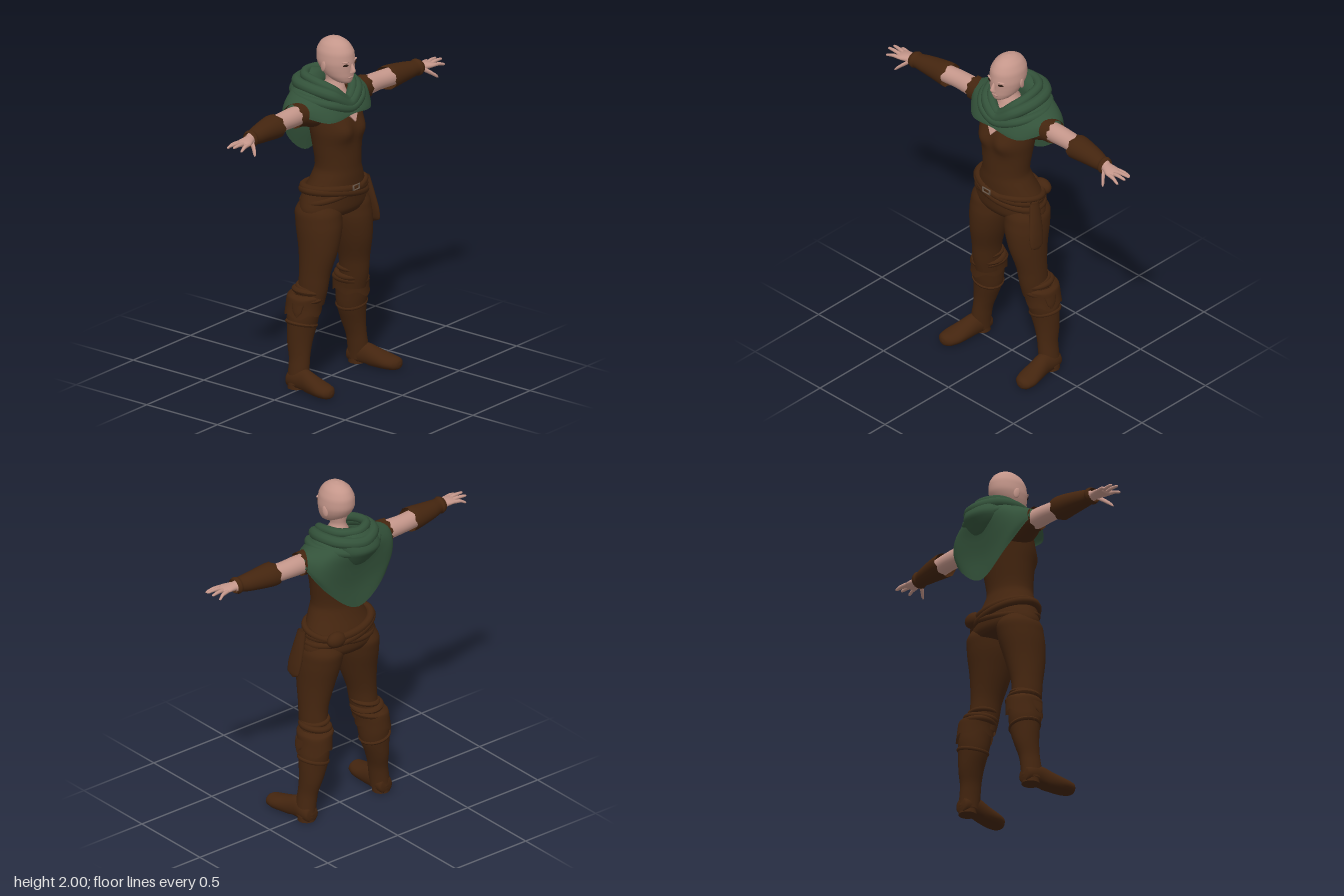
import * as THREE from 'three';

const mat = (name, color, side = THREE.FrontSide) => {
  const m = new THREE.MeshStandardMaterial({ color, side });
  m.name = name;
  return m;
};
const V = (x, y, z) => new THREE.Vector3(x, y, z);

// Surface through rows of closed loops of points; faces point outwards
function skinRows(rows) {
  const n = rows[0].length, pos = [], idx = [];
  rows.forEach(r => r.forEach(p => pos.push(p.x, p.y, p.z)));
  for (let i = 0; i < rows.length - 1; i++) for (let j = 0; j < n; j++) {
    const a = i * n + j, b = i * n + (j + 1) % n;
    idx.push(a, b, a + n, b, b + n, a + n);
  }
  let vol = 0;
  const p = k => V(pos[k * 3], pos[k * 3 + 1], pos[k * 3 + 2]);
  for (let k = 0; k < idx.length; k += 3) vol += p(idx[k]).dot(p(idx[k + 1]).cross(p(idx[k + 2])));
  if (vol < 0) idx.reverse();
  const g = new THREE.BufferGeometry();
  g.setAttribute('position', new THREE.Float32BufferAttribute(pos, 3));
  g.setIndex(idx);
  g.computeVertexNormals();
  return g;
}

// Smooth loft through elliptical sections [x, y, z, a, b] standing across an axis
function loft(axis, rings, { deform, sides = 28, sub = 4 } = {}) {
  const c = new THREE.CatmullRomCurve3(rings.map(r => V(r[0], r[1], r[2])));
  const s = new THREE.CatmullRomCurve3(rings.map(r => V(r[3], r[4], 0)));
  const steps = (rings.length - 1) * sub, rows = [];
  for (let i = 0; i <= steps; i++) {
    const o = c.getPoint(i / steps), r = s.getPoint(i / steps), row = [];
    for (let j = 0; j < sides; j++) {
      const t = j / sides * Math.PI * 2, u = Math.max(r.x, 0) * Math.cos(t), w = Math.max(r.y, 0) * Math.sin(t);
      const q = axis === 'y' ? V(o.x + u, o.y, o.z + w) : axis === 'x' ? V(o.x, o.y + u, o.z + w) : V(o.x + u, o.y + w, o.z);
      if (deform) deform(q, t, i / steps);
      row.push(q);
    }
    rows.push(row);
  }
  return skinRows(rows);
}

// Closed curve from five points running front to back on the left, mirrored to the right
const ringCurve = pts => new THREE.CatmullRomCurve3(
  [...pts, ...pts.slice(1, -1).reverse().map(([x, y, z]) => [-x, y, z])].map(q => V(...q)), true);
const roll = (pts, r) => new THREE.TubeGeometry(ringCurve(pts), 64, r, 10, true);

function ball(x, y, z, a, b, c, rx = 0, ry = 0) {
  return new THREE.SphereGeometry(1, 20, 14).scale(a, b, c).rotateX(rx).rotateY(ry).translate(x, y, z);
}

function mirrored(g) {
  const m = g.clone().scale(-1, 1, 1);
  m.setIndex(Array.from(g.index.array).reverse());
  m.computeVertexNormals();
  return m;
}

export function createModel() {
  const model = new THREE.Group();
  const skin = mat('skin', 0xc4968a), leather = mat('brown leather', 0x44250f, THREE.DoubleSide);
  const green = mat('green cloth', 0x33523a, THREE.DoubleSide), dark = mat('dark eye', 0x2a1a12);
  const metal = mat('buckle metal', 0x6b5a4c);
  const add = (name, g, m) => {
    const mesh = new THREE.Mesh(g, m);
    mesh.name = name;
    model.add(mesh);
  };
  const pair = (name, g, m) => { add(name + 'Left', g, m); add(name + 'Right', mirrored(g), m); };

  // Head and neck
  add('head', loft('y', [
    [0, 2, .025, 0, 0], [0, 1.992, .025, .035, .045], [0, 1.965, .025, .068, .087], [0, 1.92, .027, .09, .112],
    [0, 1.87, .03, .095, .115], [0, 1.83, .038, .089, .105], [0, 1.79, .055, .074, .086],
    [0, 1.762, .075, .052, .06], [0, 1.748, .085, .03, .04], [0, 1.745, .085, 0, 0]]), skin);
  add('neck', loft('y', [[0, 1.82, .015, .055, .06], [0, 1.72, .015, .055, .06], [0, 1.66, .02, .075, .078], [0, 1.61, .02, .09, .085]]), skin);
  add('nose', loft('y', [[0, 1.872, .142, 0, 0], [0, 1.85, .146, .009, .01], [0, 1.825, .149, .014, .019],
    [0, 1.813, .145, .017, .017], [0, 1.806, .14, 0, 0]], { sides: 14 }), skin);
  add('lips', ball(0, 1.785, .133, .024, .008, .01), skin);
  pair('ear', ball(.092, 1.845, .015, .008, .032, .019, .2, .25), skin);
  pair('eye', ball(.042, 1.861, .133, .017, .007, .005, 0, .35), dark);
  pair('brow', ball(.043, 1.879, .131, .022, .005, .008, 0, .35), skin);

  // Torso with a shaped bust
  add('tunic', loft('y', [
    [0, 1.68, 0, .07, .06], [0, 1.655, 0, .15, .085], [0, 1.62, .01, .19, .1], [0, 1.55, .022, .182, .125],
    [0, 1.48, .033, .175, .128], [0, 1.4, .037, .16, .123], [0, 1.27, .045, .143, .117], [0, 1.2, .037, .167, .128],
    [0, 1.1, .015, .215, .146], [0, 1.03, .01, .237, .146], [0, .99, .01, .21, .125], [0, .97, .01, 0, 0]], {
    sides: 48,
    deform: q => {
      if (q.z > .03) q.z += .027 * Math.exp(-(((Math.abs(q.x) - .075) / .055) ** 2) - ((q.y - 1.48) / .06) ** 2);
    } }), leather);
  const chest = new THREE.Shape([[0, -.04], [.04, .012], [.025, .035], [-.025, .035], [-.04, .012]].map(q => new THREE.Vector2(...q)));
  add('chestOpening', new THREE.ExtrudeGeometry(chest, { depth: .008, bevelEnabled: false }).rotateX(-.4).translate(0, 1.565, .15), skin);

  // Sleeves with ragged hems, arms and bracers
  pair('sleeve', loft('x', [[.13, 1.585, -.005, .085, .09], [.2, 1.595, -.01, .078, .085], [.26, 1.603, -.018, .068, .07],
    [.31, 1.605, -.02, .068, .066]], {
    deform: (q, t, k) => { if (k > .95) q.x += .008 * Math.sin(t * 9); } }), leather);
  pair('arm', loft('x', [[.2, 1.6, -.02, .05, .05], [.32, 1.603, -.02, .056, .054], [.42, 1.603, -.02, .052, .052],
    [.52, 1.602, -.01, .052, .05], [.64, 1.6, 0, .043, .043], [.75, 1.602, .014, .026, .032]]), skin);
  pair('bracer', loft('x', [[.485, 1.603, -.008, .066, .075], [.51, 1.604, -.008, .067, .073], [.58, 1.604, -.004, .06, .064],
    [.66, 1.603, .004, .05, .053], [.71, 1.603, .012, .043, .044], [.725, 1.603, .014, .049, .049], [.745, 1.603, .016, .04, .043]], {
    deform: (q, t, k) => { if (k < .04) q.x += .008 * Math.sin(t * 7); } }), leather);

  // Hands
  pair('palm', loft('x', [[.73, 1.602, .014, .024, .03], [.765, 1.603, .022, .022, .038], [.8, 1.602, .028, .018, .046],
    [.826, 1.6, .03, .013, .044], [.835, 1.6, .03, 0, 0]]), skin);
  const fingers = [[-.006, .885, 1.585, -.025], [.017, .91, 1.605, .005], [.04, .914, 1.608, .042], [.062, .895, 1.59, .078]];
  fingers.forEach(([z, tx, ty, tz], i) => pair('finger' + (i + 1), loft('x', [
    [.805, 1.602, z, .011, .012], [.85, (1.61 + ty) / 2, (z + tz) / 2, .01, .011],
    [tx - .01, ty, tz, .007, .008], [tx, ty - .002, tz, 0, 0]], { sides: 10 }), skin));
  pair('thumb', loft('x', [[.745, 1.595, .035, .014, .018], [.77, 1.575, .07, .013, .015], [.795, 1.552, .097, .01, .011],
    [.805, 1.54, .107, 0, 0]], { sides: 10 }), skin);

  // Trousers
  pair('trouserLeg', loft('y', [[.118, 1.06, .01, .1, .115], [.126, 1, .008, .119, .138], [.132, .93, .017, .118, .137],
    [.149, .8, .027, .1, .118], [.172, .66, .02, .078, .092], [.18, .56, .012, .073, .087], [.185, .48, 0, .07, .08]], { sides: 32 }), leather);

  // Knee wraps, boot cuffs and boots
  [[.585, .178, .073, .014], [.555, .184, .08, .018], [.52, .192, .086, .02]].forEach(([y, x, r, t], i) =>
    pair('kneeWrap' + (i + 1), new THREE.TorusGeometry(r - t * .4, t, 10, 32).rotateX(Math.PI / 2)
      .scale(1, 1, 1.12).rotateZ(i % 2 ? .12 : -.12).translate(x, y, -.005 * i * 2), leather));
  pair('bootCuff', loft('y', [[.195, .545, -.015, .078, .09], [.2, .525, -.024, .094, .108], [.205, .48, -.03, .094, .107], [.21, .435, -.032, .097, .108]], {
    deform: (q, t, k) => { q.y -= k * (.016 * Math.cos(t) + .012 * Math.sin(5 * t)); } }), leather);
  pair('cuffPoint', loft('y', [[.286, .5, -.01, .014, .045], [.298, .455, -.005, .009, .03], [.308, .425, 0, 0, 0]], { sides: 12 }), leather);
  pair('bootShaft', loft('y', [[.2, .5, -.02, .08, .09], [.212, .42, -.03, .086, .092], [.217, .35, -.035, .083, .083],
    [.235, .25, -.036, .064, .072], [.25, .16, -.026, .052, .062], [.26, .09, -.024, .053, .062], [.266, .03, -.027, .054, .06]]), leather);
  pair('bootStrap', new THREE.TorusGeometry(.08, .012, 8, 28).rotateX(Math.PI / 2).rotateZ(.25).translate(.219, .365, -.036), leather);
  pair('foot', loft('z', [[.265, .045, -.088, 0, 0], [.265, .045, -.08, .042, .045], [.266, .055, -.03, .054, .062],
    [.27, .056, .03, .051, .066], [.28, .045, .1, .057, .055], [.29, .037, .17, .063, .043],
    [.296, .034, .22, .05, .036], [.298, .033, .24, .025, .022], [.298, .033, .246, 0, 0]], {
    deform: q => { q.y = Math.max(q.y, q.z > -.01 && q.z < .06 ? .014 : .004); } }), leather);
  pair('heel', new THREE.CylinderGeometry(.049, .05, .03, 20).translate(.266, .015, -.034), leather);

  // Slanted hip sash, buckle and hanging flap
  const sash = (y, tilt, back, a, b, r) => {
    const pts = [];
    for (let i = 0; i < 16; i++) {
      const t = i / 16 * Math.PI * 2, s = Math.sin(t), c = Math.cos(t);
      pts.push(V(a * s, y - tilt * s - back * (1 - c) / 2, .015 + b * c));
    }
    return new THREE.TubeGeometry(new THREE.CatmullRomCurve3(pts, true), 64, r, 10, true);
  };
  add('sashUpper', sash(1.14, .025, .02, .2, .143, .023), leather);
  add('sashLower', sash(1.115, .04, .02, .209, .146, .022), leather);
  add('sashCross', sash(1.13, -.03, .06, .207, .146, .018), leather);
  add('sashKnot', ball(.12, 1.105, -.115, .06, .045, .04), leather);
  add('buckle', new THREE.TorusGeometry(.024, .005, 6, 4).rotateZ(Math.PI / 4).scale(1.5, .8, 1).translate(-.015, 1.155, .187), metal);
  add('hangingFlap', loft('y', [[.225, 1.13, .055, .016, .03], [.242, 1.02, .065, .021, .045], [.258, .93, .075, .018, .052],
    [.268, .87, .078, .012, .046], [.274, .845, .074, 0, 0]], { sides: 16 }), leather);

  // Shoulder cape: rows from the neck to the pointed back hem
  const capeRows = [
    [[0, 1.645, .105], [.08, 1.715, .07], [.105, 1.745, -.01], [.085, 1.755, -.1], [0, 1.75, -.14]],
    [[0, 1.61, .135], [.12, 1.665, .098], [.2, 1.695, -.025], [.15, 1.7, -.15], [0, 1.68, -.2]],
    [[0, 1.59, .153], [.15, 1.61, .125], [.29, 1.66, -.03], [.235, 1.62, -.152], [0, 1.55, -.175]],
    [[0, 1.582, .158], [.17, 1.578, .132], [.308, 1.63, -.04], [.245, 1.53, -.15], [0, 1.43, -.16]],
    [[0, 1.576, .16], [.18, 1.56, .132], [.312, 1.61, -.05], [.21, 1.44, -.148], [0, 1.295, -.165]]];
  const fine = capeRows.map(r => ringCurve(r).getPoints(64).slice(0, 64));
  const columns = fine[0].map((_, j) => new THREE.CatmullRomCurve3(fine.map(r => r[j])).getPoints(20));
  add('cape', skinRows(columns[0].map((_, i) => columns.map(c => c[i]))), green);

  // Folded hood: stacked rolls and a pouch behind the neck
  add('hoodRollUpper', roll([[0, 1.65, .108], [.085, 1.72, .075], [.112, 1.752, -.02], [.092, 1.765, -.115], [0, 1.765, -.16]], .026), green);
  add('hoodRollMiddle', roll([[0, 1.625, .122], [.105, 1.69, .092], [.15, 1.72, -.025], [.118, 1.725, -.145], [0, 1.715, -.205]], .033), green);
  add('hoodRollLower', roll([[0, 1.605, .138], [.13, 1.645, .105], [.2, 1.675, -.03], [.14, 1.672, -.15], [0, 1.655, -.205]], .026), green);
  add('hoodPouch', loft('y', [[0, 1.78, -.14, 0, 0], [0, 1.765, -.14, .07, .04], [0, 1.72, -.15, .125, .075], [-.01, 1.67, -.16, .13, .085],
    [-.01, 1.62, -.155, .11, .065], [0, 1.57, -.15, .06, .035], [0, 1.55, -.15, 0, 0]]), green);
  return model;
}
